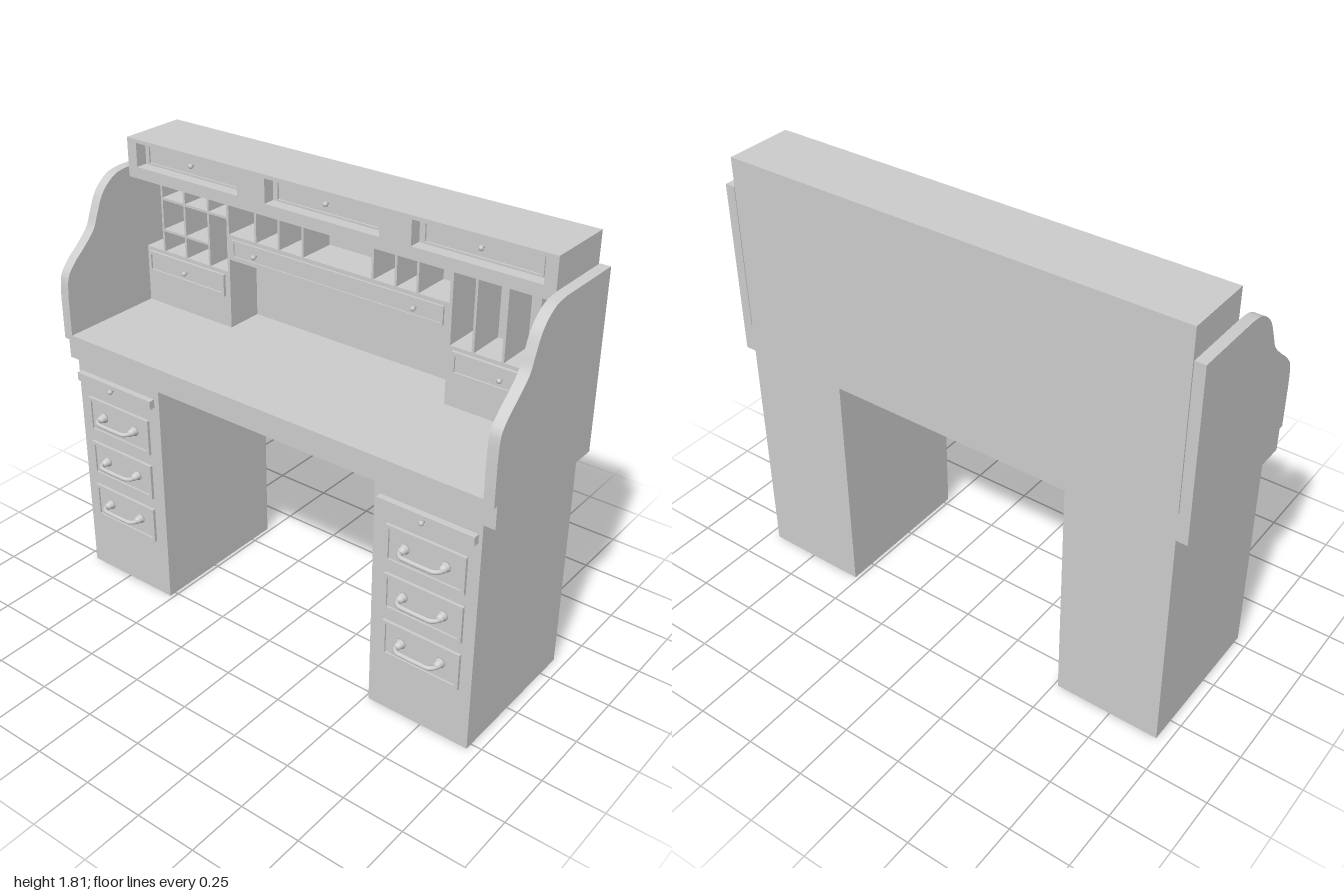
import * as THREE from 'three';
import { toCreasedNormals } from 'three/addons/utils/BufferGeometryUtils.js';

const material = new THREE.MeshStandardMaterial({ color: 0xcccccc });
const BACK = -0.355, FRONT = 0.28, CUBBY = -0.15, WALL = -0.31;

export function createModel() {
  const desk = new THREE.Group();
  desk.name = 'rollTopDesk';

  function add(name, geometry, x = 0, y = 0, z = 0) {
    const mesh = new THREE.Mesh(geometry, material);
    mesh.name = name;
    mesh.position.set(x, y, z);
    desk.add(mesh);
    return mesh;
  }

  // Box given by its limits on each axis
  function box(name, x0, x1, y0, y1, z0, z1) {
    return add(name, new THREE.BoxGeometry(x1 - x0, y1 - y0, z1 - z0),
      (x0 + x1) / 2, (y0 + y1) / 2, (z0 + z1) / 2);
  }

  function rect(target, x0, x1, y0, y1) {
    target.moveTo(x0, y0);
    target.lineTo(x1, y0);
    target.lineTo(x1, y1);
    target.lineTo(x0, y1);
    target.closePath();
    return target;
  }

  // Flat board with rectangular openings
  function frame(name, outer, holes, z0, z1) {
    const shape = rect(new THREE.Shape(), ...outer);
    holes.forEach(h => shape.holes.push(rect(new THREE.Path(), ...h)));
    return add(name, new THREE.ExtrudeGeometry(shape, { depth: z1 - z0, bevelEnabled: false }), 0, 0, z0);
  }

  // Drawer front with a raised rim around a lower panel
  function drawerFront(name, x0, x1, y0, y1, z, rim = 0.014, depth = 0.012) {
    const inner = [x0 + rim, x1 - rim, y0 + rim, y1 - rim];
    frame(name + 'Rim', [x0, x1, y0, y1], [inner], z, z + depth);
    box(name + 'Panel', ...inner, z - 0.004, z + depth * 0.4);
  }

  // Small turned knob pointing forward
  const knobProfile = [[0, 0], [0.005, 0], [0.005, 0.01], [0.01, 0.014], [0.01, 0.02], [0.006, 0.025], [0, 0.026]]
    .map(p => new THREE.Vector2(...p));
  const knobGeometry = new THREE.LatheGeometry(knobProfile, 16).rotateX(Math.PI / 2);
  const knob = (x, y, z) => add('knob', knobGeometry, x, y, z);

  // Bow handle and its round feet
  const bow = new THREE.CatmullRomCurve3([
    [-0.085, 0, 0], [-0.088, 0, 0.03], [-0.07, 0, 0.051], [-0.035, 0, 0.054],
    [0.035, 0, 0.054], [0.07, 0, 0.051], [0.088, 0, 0.03], [0.085, 0, 0],
  ].map(p => new THREE.Vector3(...p)));
  const bowGeometry = new THREE.TubeGeometry(bow, 40, 0.009, 10);
  const footGeometry = new THREE.LatheGeometry(
    [[0, 0], [0.02, 0], [0.02, 0.006], [0.016, 0.014], [0.013, 0.03], [0, 0.036]]
      .map(p => new THREE.Vector2(...p)), 16).rotateX(Math.PI / 2);

  // Curved side panel outline, drawn in (z, y)
  const side = new THREE.Shape();
  side.moveTo(BACK, 0.975);
  side.lineTo(FRONT, 0.975);
  side.lineTo(FRONT, 1.068);
  side.lineTo(0.3, 1.068);
  side.lineTo(0.3, 1.25);
  side.splineThru([[0.29, 1.335], [0.25, 1.388], [0.195, 1.435], [0.14, 1.49], [0.113, 1.55],
    [0.085, 1.61], [0.05, 1.65], [0, 1.68], [-0.06, 1.69]].map(p => new THREE.Vector2(...p)));
  side.lineTo(BACK, 1.69);
  const sideGeometry = toCreasedNormals(
    new THREE.ExtrudeGeometry(side, { depth: 0.042, bevelEnabled: false, curveSegments: 20 }), 0.5)
    .rotateY(-Math.PI / 2);

  for (const s of [-1, 1]) {
    const c = s * 0.74;
    add('sidePanel', sideGeometry, s > 0 ? 1 : -0.958);

    // Pedestal with pull-out board and three drawers
    box('pedestal', s * 0.735 - 0.22, s * 0.735 + 0.22, 0, 0.98, BACK, FRONT);
    box('pullOutBoard', c - 0.2, c + 0.2, 0.898, 0.934, FRONT - 0.01, 0.305);
    knob(c, 0.916, 0.305);
    for (const y of [0.75, 0.542, 0.333]) {
      drawerFront('pedestalDrawer', c - 0.166, c + 0.166, y - 0.078, y + 0.078, FRONT);
      add('handle', bowGeometry, c, y + 0.004, 0.286);
      for (const t of [-1, 1]) add('handleFoot', footGeometry, c + t * 0.085, y + 0.004, 0.284);
    }

    // Low cabinet inside with one drawer, and the wall beside the centre bay
    box('innerCabinet', s * 0.735 - 0.225, s * 0.735 + 0.225, 1.08, 1.33, WALL, CUBBY);
    drawerFront('innerDrawer', c - 0.205, c + 0.205, 1.222, 1.315, CUBBY);
    knob(c, 1.268, CUBBY + 0.004);
    box('bayWall', s * 0.515 - 0.006, s * 0.515 + 0.006, 1.32, 1.66, WALL, CUBBY);
  }

  // Desk top, its front lip and the back
  box('deskBase', -0.96, 0.96, 0.975, 1.07, BACK, FRONT);
  box('deskTop', -0.96, 0.96, 1.068, 1.09, BACK, 0.3);
  box('backPanel', -0.955, 0.955, 1.08, 1.66, BACK, WALL);

  // Pigeonhole dividers: x, bottom
  const dividers = [[-0.863, 1.325], [-0.742, 1.325], [-0.616, 1.325],
    [0.615, 1.325], [0.737, 1.325], [0.86, 1.325],
    ...[-0.375, -0.26, -0.145, 0.177, 0.279, 0.373].map(x => [x, 1.485])];
  for (const [x, y] of dividers) box('divider', x - 0.005, x + 0.005, y, 1.66, WALL, CUBBY);
  box('cubbyShelf', -0.863, -0.515, 1.55, 1.56, WALL, CUBBY);
  box('cubbyShelf', -0.863, -0.616, 1.416, 1.426, WALL, CUBBY);

  // Shelf across the centre bay with a long shallow drawer
  box('centreShelf', -0.515, 0.515, 1.385, 1.49, WALL, CUBBY);
  drawerFront('centreDrawer', -0.49, 0.49, 1.397, 1.474, CUBBY, 0.01, 0.008);
  for (const x of [-0.37, 0.37]) knob(x, 1.436, CUBBY + 0.003);

  // Top cabinet with three recessed drawers
  const centres = [-0.65, 0, 0.65];
  frame('topCabinetFront', [-0.955, 0.955, 1.65, 1.81],
    centres.map(x => [x - 0.258, x + 0.258, 1.698, 1.795]), -0.12, -0.07);
  box('topCabinetBody', -0.955, 0.955, 1.65, 1.81, BACK, -0.12);
  for (const x of centres) {
    drawerFront('topDrawer', x - 0.235, x + 0.235, 1.703, 1.79, -0.12, 0.008, 0.012);
    knob(x, 1.748, -0.117);
  }
  return desk;
}
